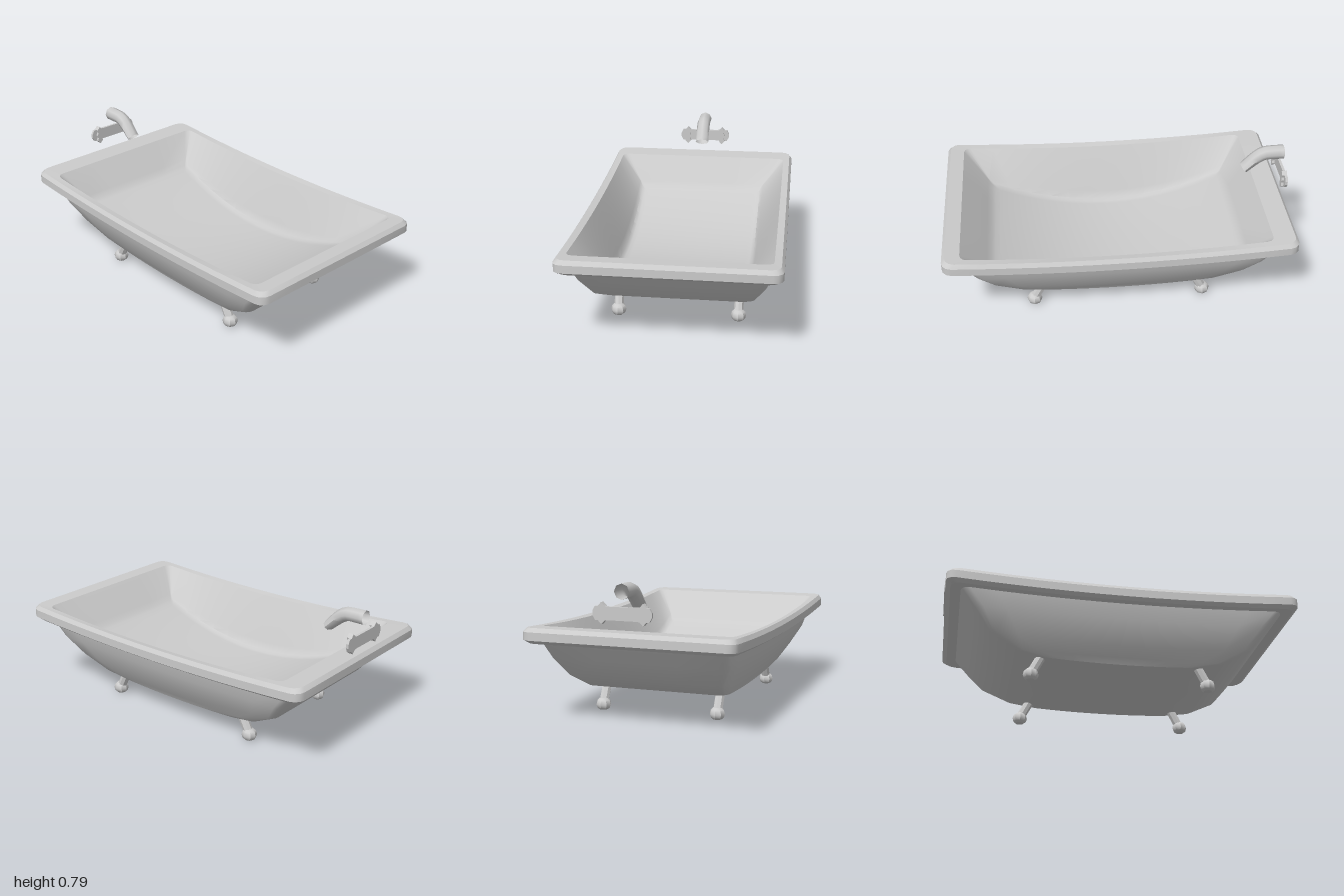
import * as THREE from 'three';
import { toCreasedNormals } from 'three/addons/utils/BufferGeometryUtils.js';

const material = new THREE.MeshStandardMaterial({ color: 0xcccccc });
const thin = new THREE.MeshStandardMaterial({ color: 0xcccccc, side: THREE.DoubleSide });
const MID = 0.005; // centre of the tub in x

function add(parent, name, geometry, mat = material) {
  const mesh = new THREE.Mesh(geometry, mat);
  mesh.name = name;
  parent.add(mesh);
  return mesh;
}

// Rounded rectangle whose long sides dip towards the middle
function ring({ hx, hz, y, r = 0.055, sag = 0.035, cx = MID }) {
  const signs = [[1, 1], [-1, 1], [-1, -1], [1, -1]];
  const arcs = signs.map(([sx, sz], k) => [0, 1, 2, 3].map((i) => {
    const a = (k + i / 3) * Math.PI / 2;
    return [sx * (hx - r) + r * Math.cos(a), sz * (hz - r) + r * Math.sin(a)];
  }));
  const points = [];
  arcs.forEach((arc, k) => {
    points.push(...arc);
    const from = arc[3], to = arcs[(k + 1) % 4][0], n = k % 2 ? 4 : 12;
    for (let i = 1; i < n; i++) {
      const t = i / n;
      points.push([from[0] + (to[0] - from[0]) * t, from[1] + (to[1] - from[1]) * t]);
    }
  });
  return points.map(([x, z]) => [x + cx, y - sag * (1 - (x / hx) ** 2), z]);
}

// Skin a series of rings
function loft(levels, crease) {
  const rings = levels.map(ring), n = rings[0].length, index = [];
  for (let i = 0; i < rings.length - 1; i++) {
    for (let j = 0; j < n; j++) {
      const a = i * n + j, b = i * n + (j + 1) % n;
      index.push(a, a + n, b, b, a + n, b + n);
    }
  }
  const geometry = new THREE.BufferGeometry();
  geometry.setAttribute('position', new THREE.Float32BufferAttribute(rings.flat(2), 3));
  geometry.setIndex(index);
  return toCreasedNormals(geometry, crease);
}

export function createModel() {
  const model = new THREE.Group();
  model.name = 'bathtub';

  // Outer shell, from the keel line up to the rim
  add(model, 'outerShell', loft([
    { hx: 0.425, hz: 0, y: 0.123, r: 0, sag: 0.013 },
    { hx: 0.425, hz: 0.383, y: 0.123, r: 0.02, sag: 0.013 },
    { hx: 0.58, hz: 0.403, y: 0.152, r: 0.03, sag: 0.008 },
    { hx: 0.74, hz: 0.445, y: 0.236, r: 0.04, sag: 0.04 },
    { hx: 0.83, hz: 0.508, y: 0.345, r: 0.05, sag: 0.015 },
    { hx: 0.914, hz: 0.53, y: 0.45, r: 0.05, sag: 0.03 },
  ], 0.75));

  // Rim with chamfered edges
  const lip = { hx: 0.875, hz: 0.543, y: 0.525, r: 0.04, cx: 0.025 };
  add(model, 'rim', loft([
    { hx: 0.91, hz: 0.53, y: 0.447, r: 0.05, sag: 0.03 },
    { hx: 0.968, hz: 0.575, y: 0.445, sag: 0.03 },
    { hx: 0.995, hz: 0.597, y: 0.465 },
    { hx: 0.995, hz: 0.597, y: 0.51 },
    { hx: 0.977, hz: 0.582, y: 0.532 },
    lip,
  ], 0.55));

  // Basin walls, small fillet and deeply sagging floor
  add(model, 'basin', loft([
    lip,
    { hx: 0.749, hz: 0.413, y: 0.377, r: 0.008, sag: 0.148, cx: 0.012 },
    { hx: 0.727, hz: 0.395, y: 0.35, r: 0.008, sag: 0.165, cx: 0.01 },
    { hx: 0.705, hz: 0.375, y: 0.336, r: 0.008, sag: 0.162, cx: 0.01 },
    { hx: 0.68, hz: 0.35, y: 0.324, r: 0.008, sag: 0.152, cx: 0.01 },
    { hx: 0.68, hz: 0, y: 0.324, r: 0, sag: 0.152, cx: 0.01 },
  ], 0.7));

  // Four splayed legs on flat-bottomed ball feet
  const footProfile = [[0, 0], [0.024, 0], [0.038, 0.011], [0.044, 0.031], [0.038, 0.052],
    [0.025, 0.064], [0, 0.068]].map(([x, y]) => new THREE.Vector2(x, y));
  for (const sx of [-1, 1]) {
    for (const sz of [-1, 1]) {
      const leg = new THREE.Group();
      leg.name = 'leg';
      const bottom = new THREE.Vector3(MID + sx * 0.5, 0.035, sz * 0.343);
      const top = new THREE.Vector3(MID + sx * 0.441, 0.15, sz * 0.343);
      const dir = top.clone().sub(bottom);
      const post = add(leg, 'legPost',
        toCreasedNormals(new THREE.CylinderGeometry(0.027, 0.027, dir.length(), 8), 0.5));
      post.position.copy(bottom).add(top).multiplyScalar(0.5);
      post.quaternion.setFromUnitVectors(new THREE.Vector3(0, 1, 0), dir.normalize());
      const foot = add(leg, 'foot', toCreasedNormals(new THREE.LatheGeometry(footProfile, 8), 0.7));
      foot.position.set(bottom.x, 0, bottom.z);
      model.add(leg);
    }
  }

  // Bent, open-ended spout, flattened towards its mouth
  const faucet = new THREE.Group();
  faucet.name = 'faucet';
  const path = new THREE.CatmullRomCurve3([
    [-1, 0.749], [-0.94, 0.749], [-0.885, 0.745], [-0.845, 0.722], [-0.77, 0.652],
  ].map(([x, y]) => new THREE.Vector3(x, y, 0)));
  const steps = 10, sides = 8;
  const tube = new THREE.TubeGeometry(path, steps, 0.042, sides);
  const pos = tube.attributes.position;
  for (let i = 0; i < pos.count; i++) {
    const t = Math.floor(i / (sides + 1)) / steps, c = path.getPointAt(t), k = 1 - 0.3 * t * t;
    pos.setXY(i, c.x + (pos.getX(i) - c.x) * k, c.y + (pos.getY(i) - c.y) * k);
  }
  add(faucet, 'spout', toCreasedNormals(tube, 0.9), thin);

  // Wall plate with flared ends, drawn in z and y
  const half = [[0.075, 0.035], [0.095, 0.037], [0.115, 0.055], [0.133, 0.037],
    [0.15, 0.036], [0.163, 0.012]];
  const top = [...half.map(([z, y]) => [-z, y]).reverse(), ...half];
  const outline = [...top, ...top.map(([z, y]) => [z, -y]).reverse()];
  const extrude = (points, depth) => {
    const shape = new THREE.Shape(points.map(([z, y]) => new THREE.Vector2(-z, y)));
    return new THREE.ExtrudeGeometry(shape, { depth, bevelEnabled: false })
      .rotateY(Math.PI / 2).translate(-1, 0.635, 0);
  };
  add(faucet, 'wallPlate', extrude(outline, 0.015));

  // Wavy tap handles on the plate
  const side = [[0, 0.057], [0.019, 0.037], [0.013, 0.018], [0.019, 0], [0.013, -0.018],
    [0.019, -0.037], [0, -0.057]];
  const wave = [...side, ...side.slice(1, -1).reverse().map(([z, y]) => [-z, y])];
  for (const s of [-1, 1]) {
    add(faucet, 'tapHandle', extrude(wave.map(([z, y]) => [z + s * 0.115, y]), 0.03));
  }
  model.add(faucet);
  return model;
}
